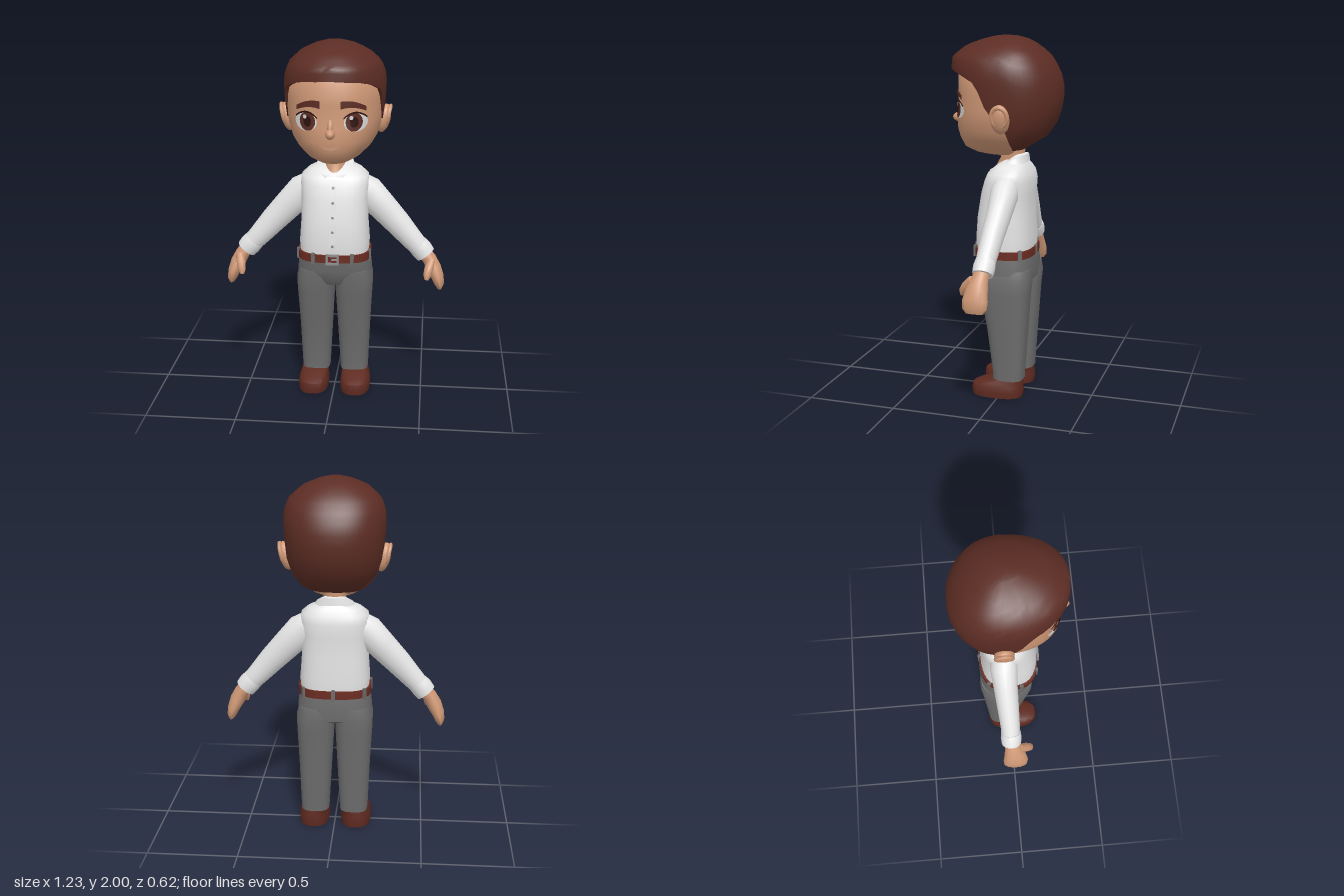
import * as THREE from 'three';
import { toCreasedNormals } from 'three/addons/utils/BufferGeometryUtils.js';

const V = (x, y, z) => new THREE.Vector3(x, y, z);
const mat = (name, color, side = THREE.FrontSide) => {
  const m = new THREE.MeshStandardMaterial({ color, side });
  m.name = name;
  return m;
};
const pow = (v, n) => Math.sign(v) * Math.pow(Math.abs(v), 2 / n);

// Closed skin over a stack of equal-sized rings
function skin(rings, crease = 0.8) {
  const n = rings[0].length, pos = [], idx = [];
  rings.forEach(r => r.forEach(p => pos.push(p.x, p.y, p.z)));
  for (let i = 0; i < rings.length - 1; i++) for (let j = 0; j < n; j++) {
    const a = i * n + j, b = i * n + (j + 1) % n;
    idx.push(a, b, b + n, a, b + n, a + n);
  }
  [0, rings.length - 1].forEach((k, e) => {
    const c = rings[k].reduce((s, p) => s.add(p), V(0, 0, 0)).divideScalar(n);
    const ci = pos.length / 3;
    pos.push(c.x, c.y, c.z);
    for (let j = 0; j < n; j++) {
      const a = k * n + j, b = k * n + (j + 1) % n;
      e ? idx.push(ci, a, b) : idx.push(ci, b, a);
    }
  });
  const g = new THREE.BufferGeometry();
  g.setAttribute('position', new THREE.Float32BufferAttribute(pos, 3));
  g.setIndex(idx);
  return toCreasedNormals(g, crease);
}

// Section: [y, halfWidth, zFront, zBack, centreX]
function ringPoint([y, rx, zf, zb, cx = 0], a, n, c0 = (zf + zb) / 2) {
  const c = pow(Math.cos(a), n);
  return V(cx + rx * pow(Math.sin(a), n), y, c0 + c * (c > 0 ? zf - c0 : c0 - zb));
}
const loft = (secs, n = 2.6, c0, segs = 28) => skin(secs.map(s =>
  Array.from({ length: segs }, (_, j) => ringPoint(s, j / segs * Math.PI * 2, n, c0))));

// Interpolate a table of rows by its first column
function sample(rows, v) {
  let i = 0;
  while (i < rows.length - 2 && v > rows[i + 1][0]) i++;
  const k = THREE.MathUtils.clamp((v - rows[i][0]) / (rows[i + 1][0] - rows[i][0]), 0, 1);
  return rows[i].map((q, j) => q + (rows[i + 1][j] - q) * k);
}
function frontZ(secs, x, y, n, c0) {
  const [, rx, zf, zb] = sample(secs, y), c = c0 ?? (zf + zb) / 2;
  return c + (zf - c) * Math.pow(Math.max(0, 1 - Math.pow(Math.abs(x / rx), n)), 1 / n);
}

// Limb along a path: [x, y, z, radius across, radius in z]
function limb(secs, segs = 16) {
  const P = secs.map(s => V(s[0], s[1], s[2]));
  return skin(secs.map((s, i) => {
    const t = P[Math.min(i + 1, P.length - 1)].clone().sub(P[Math.max(i - 1, 0)]).normalize();
    const u = V(0, 0, 1).addScaledVector(t, -t.z).normalize(), v = t.clone().cross(u);
    return Array.from({ length: segs }, (_, j) => {
      const a = j / segs * Math.PI * 2;
      return P[i].clone().addScaledVector(u, s[4] * Math.cos(a)).addScaledVector(v, s[3] * Math.sin(a));
    });
  }));
}

const HEAD = [[1.355, .04, .11, 0], [1.37, .1, .175, -.05], [1.4, .15, .235, -.08], [1.45, .2, .258, -.14],
  [1.5, .23, .27, -.2], [1.57, .25, .268, -.25], [1.62, .257, .262, -.27], [1.7, .258, .262, -.28],
  [1.8, .255, .262, -.25], [1.88, .2, .22, -.18]];
const HAIR = [[1.39, .13, .2, -.1], [1.42, .185, .24, -.165], [1.48, .228, .27, -.24], [1.57, .258, .276, -.29],
  [1.7, .272, .278, -.312], [1.78, .275, .29, -.3], [1.83, .27, .302, -.277], [1.89, .247, .297, -.24],
  [1.95, .18, .22, -.175], [1.985, .1, .12, -.11], [2, .04, .05, -.05]];
// Hairline height by angle in degrees, from the forehead to the nape
const HAIRLINE = [[0, 1.83], [30, 1.82], [48, 1.8], [65, 1.765], [73, 1.7], [79, 1.61], [90, 1.56], [104, 1.43], [115, 1.395], [180, 1.392]];
const SHIRT = [[.82, .19, .15, -.155], [.9, .195, .158, -.16], [1.02, .186, .15, -.15], [1.15, .185, .128, -.152],
  [1.22, .19, .108, -.155], [1.265, .185, .088, -.145], [1.3, .145, .05, -.125], [1.335, .07, 0, -.1]];
const HN = 2.2, HC = -.03;

function hairGeometry() {
  const segs = 56, rows = 13, rings = [];
  for (let i = -1; i <= rows; i++) rings.push(Array.from({ length: segs }, (_, j) => {
    const a = j / segs * Math.PI * 2, deg = 180 / Math.PI * Math.min(a, Math.PI * 2 - a);
    const e = sample(HAIRLINE, deg)[1];
    const y = e + (2 - e) * Math.sin(Math.max(i, 0) / rows * Math.PI / 2);
    const p = ringPoint(sample(HAIR, y), a, HN, HC);
    if (i < 0) { p.x *= .85; p.z = HC + (p.z - HC) * .85; } // inner lip
    return p;
  }));
  return skin(rings);
}

export function createModel() {
  const root = new THREE.Group();
  const skinM = mat('skin', 0xcf9876), hairM = mat('brown hair', 0x5c2d24), lipM = mat('lips', 0xdba485);
  const shirtM = mat('white cloth', 0xe4e4e4, THREE.DoubleSide), greyM = mat('grey trousers', 0x6c6c6c);
  const beltM = mat('belt leather', 0x6a2c22), shoeM = mat('shoe leather', 0x5e2a20);
  const metalM = mat('buckle metal', 0x8c8c8c), eyeM = mat('eye white', 0xd8d8d8), pupilM = mat('pupil', 0x2c120e);
  const add = (name, geo, m, x = 0, y = 0, z = 0) => {
    const o = new THREE.Mesh(geo, m);
    o.name = name;
    o.position.set(x, y, z);
    root.add(o);
    return o;
  };
  // Thin patch laid on a lofted front
  const patch = (name, geo, m, rule, off, secs = HEAD, n = HN, c0 = HC) => {
    const p = geo.attributes.position;
    for (let i = 0; i < p.count; i++) {
      const [x, y] = rule(p.getX(i), p.getY(i));
      p.setXYZ(i, x, y, frontZ(secs, x, y, n, c0) + off);
    }
    geo.computeVertexNormals();
    return add(name, geo, m);
  };
  const disc = () => new THREE.RingGeometry(.001, 1, 22, 4);

  // Head
  add('head', loft(HEAD, HN, HC, 48), skinM);
  add('hair', hairGeometry(), hairM);
  add('neck', loft([[1.24, .06, .075, -.09], [1.3, .06, .058, -.095], [1.34, .06, .035, -.1], [1.43, .07, .04, -.1]], 2), skinM);
  const nose = add('nose', new THREE.SphereGeometry(1, 14, 10), skinM, 0, 1.552, .268);
  nose.scale.set(.026, .028, .046);
  const bridge = add('noseBridge', new THREE.SphereGeometry(1, 12, 8), skinM, 0, 1.585, .264);
  bridge.scale.set(.016, .045, .02);
  bridge.rotation.x = -.25;
  patch('mouth', new THREE.PlaneGeometry(2, 1, 14, 2), lipM,
    (u, v) => [u * .06, 1.472 + .02 * u * u + v * .016 * (1 - u * u)], .005);

  for (const s of [1, -1]) {
    const side = s > 0 ? 'left' : 'right';
    // Ear with a raised rim
    const ear = add(side + 'Ear', new THREE.SphereGeometry(1, 16, 12), skinM, s * .262, 1.578, -.04);
    ear.scale.set(.036, .08, .052);
    ear.rotation.z = -s * .22;
    const rim = add(side + 'EarRim', new THREE.TorusGeometry(.042, .011, 8, 20), skinM, s * .286, 1.592, -.042);
    rim.rotation.set(0, Math.PI / 2, -s * .22, 'ZYX');
    rim.scale.y = 1.25;
    // Eye and brow
    patch(side + 'EyeWhite', disc(), eyeM, (u, v) => [s * .13 + u * .06, 1.61 + v * .049], .003);
    patch(side + 'Iris', disc(), hairM, (u, v) => [s * .122 + u * .043, 1.612 + v * .049], .005);
    patch(side + 'Pupil', disc(), pupilM, (u, v) => [s * .122 + u * .022, 1.612 + v * .028], .007);
    patch(side + 'EyeGlint', disc(), eyeM, (u, v) => [s * .122 - .014 + u * .01, 1.636 + v * .011], .009);
    patch(side + 'EyeLid', new THREE.PlaneGeometry(2, 1, 12, 1), pupilM,
      (u, v) => [s * .128 + u * .06, 1.662 - .03 * u * u + v * .009], .006);
    patch(side + 'Brow', new THREE.PlaneGeometry(2, 1, 12, 2), hairM, (u, v) => {
      const k = u * s;
      return [s * .118 + u * .064, 1.704 - .012 * k - .014 * k * k + v * (.032 - .008 * k)];
    }, .009);

    // Arm
    add(side + 'Sleeve', limb([[s * .12, 1.225, -.035, .06, .065], [s * .175, 1.168, -.038, .09, .075],
      [s * .26, 1.08, -.036, .082, .066], [s * .35, .985, -.03, .073, .06], [s * .43, .895, -.025, .062, .054], [s * .49, .83, -.024, .054, .05]]), shirtM);
    add(side + 'Cuff', limb([[s * .462, .862, -.024, .059, .055], [s * .484, .838, -.024, .062, .058], [s * .508, .808, -.024, .058, .055]]), shirtM);
    add(side + 'Hand', limb([[s * .49, .835, -.02, .038, .04], [s * .53, .785, -.016, .04, .046], [s * .556, .735, -.008, .042, .06],
      [s * .579, .685, -.005, .035, .07], [s * .59, .645, -.006, .027, .066], [s * .592, .622, -.006, .015, .048]]), skinM);
    add(side + 'Thumb', limb([[s * .54, .785, .02, .024, .026], [s * .528, .75, .056, .025, .026],
      [s * .52, .718, .079, .022, .022], [s * .517, .694, .086, .011, .011]], 12), skinM);

    // Leg and shoe
    const q = s * .108;
    add(side + 'Leg', loft([[.1, .079, .042, -.13, s * .11], [.14, .081, .042, -.132, s * .11], [.4, .093, .076, -.15, q],
      [.6, .104, .114, -.163, q], [.68, .106, .128, -.172, q], [.74, .1, .13, -.165, s * .1]], 3), greyM);
    add(side + 'Shoe', loft([[0, .084, .16, -.125, s * .12], [.03, .087, .166, -.13, s * .12], [.062, .083, .16, -.128, s * .12],
      [.08, .078, .125, -.126, s * .118], [.095, .076, .07, -.125, s * .115], [.108, .074, .035, -.122, s * .112]], 2.6), shoeM);
  }

  // Trousers top and belt
  add('hips', loft([[.655, .12, .105, -.14], [.67, .207, .118, -.165], [.74, .207, .138, -.17], [.815, .198, .146, -.162]], 3), greyM);
  const BELT = [.825, .204, .164, -.167];
  add('belt', loft([[.803, ...BELT.slice(1)], [.847, ...BELT.slice(1)]], 2.8), beltM);
  for (const d of [24, 75, 130, 180, 230, 285, 336]) {
    const a = d * Math.PI / 180, p = ringPoint(BELT, a, 2.8);
    const loop = add('beltLoop', new THREE.BoxGeometry(.02, .062, .014), greyM, p.x, p.y, p.z);
    loop.rotation.y = Math.atan2(Math.sin(a) ** 3, Math.cos(a) ** 3);
  }
  const frame = new THREE.Shape([[-.036, -.03], [.036, -.03], [.036, .03], [-.036, .03]].map(p => new THREE.Vector2(...p)));
  frame.holes.push(new THREE.Path([[-.024, -.018], [-.024, .018], [.024, .018], [.024, -.018]].map(p => new THREE.Vector2(...p))));
  add('buckle', new THREE.ExtrudeGeometry(frame, { depth: .014, bevelEnabled: false }), metalM, 0, .825, .161);
  add('bucklePin', new THREE.BoxGeometry(.03, .008, .01), metalM, .01, .825, .169);

  // Shirt with button strip
  add('shirt', loft(SHIRT, 2.8), shirtM);
  patch('buttonStrip', new THREE.PlaneGeometry(.036, .41, 2, 14), shirtM, (u, v) => [u, 1.05 + v], .006, SHIRT, 2.8, null);
  for (let i = 0; i < 5; i++) {
    const y = .9 + i * .08;
    patch('button', new THREE.CircleGeometry(.008, 10), metalM, (u, v) => [u, y + v], .009, SHIRT, 2.8, null);
  }

  // Folded collar, open at the front
  const cols = 28, cp = [], ci = [];
  for (let i = 0; i <= cols; i++) {
    const k = i / cols * 2 - 1;
    [[.072, .108, .06, 5], [.1, .125, .09, 20], [.122, .142, .095, 36]].forEach(([rx, zf, zb, start], r) => {
      const a = Math.PI + k * (Math.PI - start * Math.PI / 180), c = Math.cos(a), t = (1 + c) / 2;
      const y = r === 0 ? 1.37 - .095 * t ** 1.5 : r === 1 ? 1.365 - .095 * t ** 1.3 : 1.325 - .07 * t - .025 * t ** 8;
      cp.push(rx * Math.sin(a), y, -.03 + c * (c > 0 ? zf : zb));
      if (i < cols && r < 2) {
        const q = i * 3 + r;
        ci.push(q, q + 1, q + 4, q, q + 4, q + 3);
      }
    });
  }
  const collar = new THREE.BufferGeometry();
  collar.setAttribute('position', new THREE.Float32BufferAttribute(cp, 3));
  collar.setIndex(ci);
  add('collar', toCreasedNormals(collar, .6), shirtM);
  return root;
}
